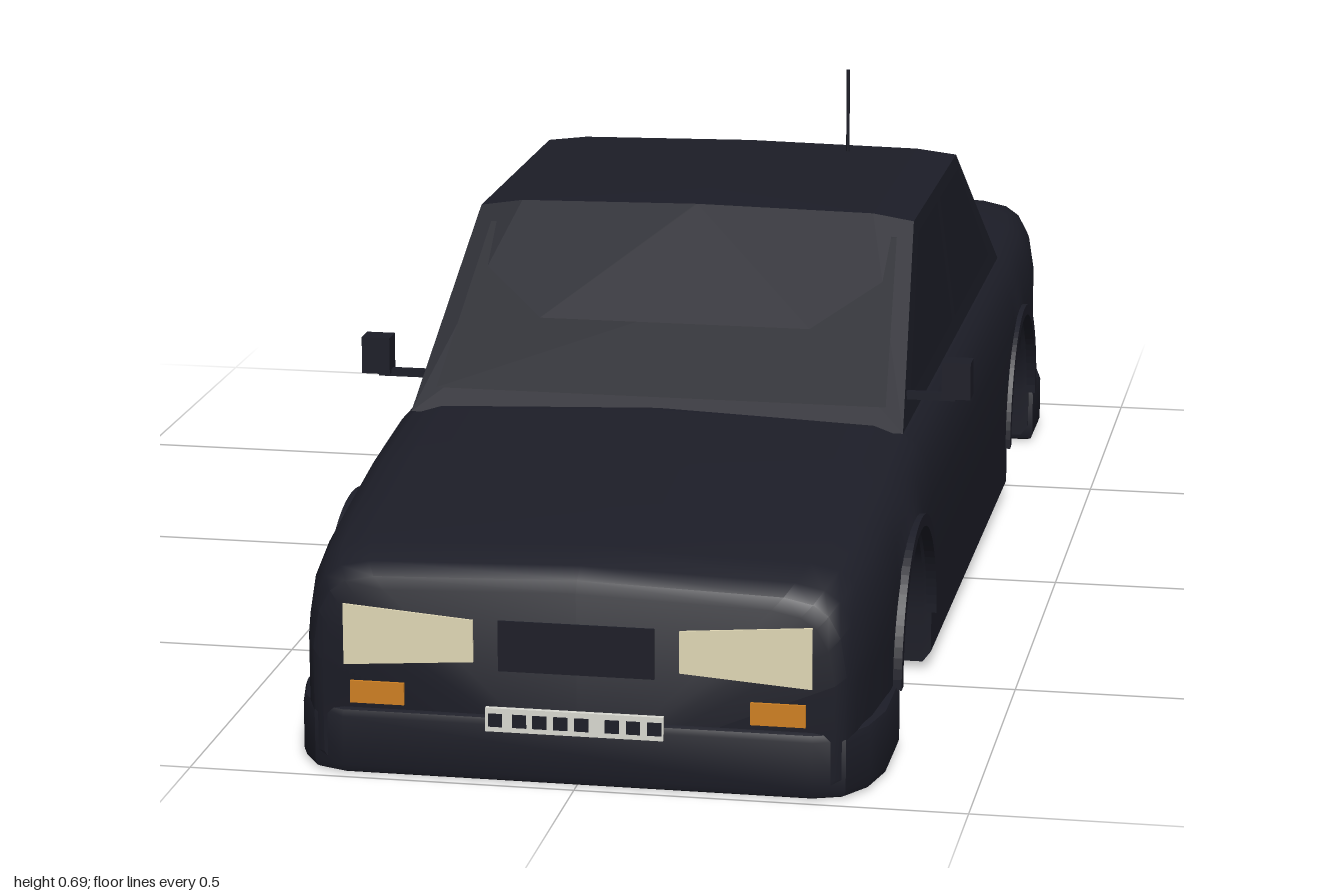
import * as THREE from 'three';
import { toCreasedNormals } from 'three/addons/utils/BufferGeometryUtils.js';
import { ConvexGeometry } from 'three/addons/geometries/ConvexGeometry.js';

const mat = (name, color, side = THREE.FrontSide) => {
  const m = new THREE.MeshStandardMaterial({ color, side });
  m.name = name;
  return m;
};

// Piecewise-linear lookup in [z, value] pairs
function lookup(table, z) {
  for (let i = 1; i < table.length; i++) {
    const [a, va] = table[i - 1], [b, vb] = table[i];
    if (z <= b) return va + (vb - va) * (z - a) / (b - a);
  }
  return table[table.length - 1][1];
}

const ARCH = 0.597, RADIUS = 0.163, HUB = 0.082, FLOOR = 0.012;
const WIDTH = [[-0.98, 0.335], [-0.97, 0.346], [-0.945, 0.355], [-0.9, 0.363], [-0.8, 0.372], [-0.6, 0.377],
  [0.6, 0.377], [0.8, 0.372], [0.9, 0.364], [0.95, 0.353], [0.972, 0.342], [0.98, 0.328]];
const TOP = [[-0.98, 0.325], [-0.973, 0.341], [-0.945, 0.351], [-0.85, 0.355], [-0.6, 0.345],
  [0.44, 0.342], [0.6, 0.325], [0.8, 0.3], [0.9, 0.285], [0.95, 0.273], [0.972, 0.26], [0.98, 0.245]];

// Lower body: sections lofted from back to front, with the wheel arches cut in
function bodyGeometry() {
  const arch = c => {
    const pts = [[c - RADIUS, FLOOR]];
    for (let i = 0; i <= 20; i++) {
      const a = Math.PI * i / 20;
      pts.push([c - RADIUS * Math.cos(a), HUB + RADIUS * Math.sin(a)]);
    }
    return [...pts, [c + RADIUS, FLOOR]];
  };
  const plain = [...new Set([...WIDTH, ...TOP].map(p => p[0]))].sort((a, b) => a - b).map(z => [z, FLOOR]);
  const stations = [
    ...plain.filter(p => p[0] < -ARCH - RADIUS), ...arch(-ARCH),
    ...plain.filter(p => Math.abs(p[0]) < ARCH - RADIUS), ...arch(ARCH),
    ...plain.filter(p => p[0] > ARCH + RADIUS)];
  const pos = [], index = [];
  let n = 0;
  for (const [z, low] of stations) {
    const w = lookup(WIDTH, z), top = lookup(TOP, z);
    const half = [[w * 0.97, low], [w, low + 0.015], [w, 0.15], [w, top - 0.1], [w - 0.008, top - 0.05],
      [w - 0.023, top - 0.022], [w - 0.043, top - 0.008], [w - 0.08, top]]
      .map(([x, y], i) => [x, i ? Math.max(y, low + 0.015) : y]);
    const ring = [[0, low], ...half, [0, top + 0.008], ...half.slice().reverse().map(([x, y]) => [-x, y])];
    n = ring.length;
    for (const [x, y] of ring) pos.push(x, y, z);
  }
  const last = (stations.length - 1) * n;
  for (let s = 0; s < last; s += n) {
    for (let i = 0; i < n; i++) {
      const a = s + i, b = s + (i + 1) % n;
      index.push(a, b, a + n, b, b + n, a + n);
    }
  }
  for (let i = 1; i < n - 1; i++) index.push(0, i + 1, i, last, last + i, last + i + 1);
  const g = new THREE.BufferGeometry();
  g.setAttribute('position', new THREE.Float32BufferAttribute(pos, 3));
  g.setIndex(index);
  return toCreasedNormals(g, 0.6);
}

export function createModel() {
  const car = new THREE.Group();
  car.name = 'car';
  const paint = mat('dark paint', 0x1c1d27);
  const glass = mat('dark glass', 0x1b1c25, THREE.DoubleSide);
  const cream = mat('headlight cream', 0xe2d9b6);
  const amber = mat('indicator amber', 0xcf8022);
  const red = mat('tail light red', 0x980820);
  const white = mat('plate white', 0xdadad2);

  const add = (name, geometry, material, x = 0, y = 0, z = 0) => {
    const m = new THREE.Mesh(geometry, material);
    m.name = name;
    m.position.set(x, y, z);
    car.add(m);
    return m;
  };
  const box = (name, material, x0, x1, y0, y1, z0, z1) =>
    add(name, new THREE.BoxGeometry(x1 - x0, y1 - y0, z1 - z0), material, (x0 + x1) / 2, (y0 + y1) / 2, (z0 + z1) / 2);
  const shapeOf = pts => new THREE.Shape(pts.map(p => new THREE.Vector2(...p)));

  add('body', bodyGeometry(), paint);

  // Cabin with a gently crowned roof
  const cabin = [];
  for (const s of [-1, 1]) {
    for (const [x, y, z] of [[0.338, 0.335, 0.45], [0.338, 0.335, -0.61], [0.308, 0.557, 0.14], [0.308, 0.557, -0.32],
      [0.25, 0.565, 0.135], [0.25, 0.565, -0.315], [0.001, 0.569, 0.135], [0.001, 0.569, -0.315],
      [0.001, 0.572, 0.04], [0.001, 0.572, -0.22]]) cabin.push(new THREE.Vector3(s * x, y, z));
  }
  add('cabin', new ConvexGeometry(cabin), paint);

  // Window panes laid just outside the cabin
  const pane = (name, pts) => {
    const g = new THREE.BufferGeometry();
    g.setAttribute('position', new THREE.Float32BufferAttribute(pts.flat(), 3));
    g.setIndex([0, 1, 2, 0, 2, 3]);
    g.computeVertexNormals();
    add(name, g, glass);
  };
  pane('windscreen', [[-0.31, 0.362, 0.419], [0.31, 0.362, 0.419], [0.288, 0.54, 0.167], [-0.288, 0.54, 0.167]]);
  pane('rearWindow', [[0.31, 0.362, -0.58], [-0.31, 0.362, -0.58], [-0.288, 0.54, -0.346], [0.288, 0.54, -0.346]]);
  const sideX = y => 0.341 - (y - 0.335) * 0.03 / 0.222;
  for (const s of [-1, 1]) {
    for (const [name, a, b, c, d] of [['frontSideWindow', 0.37, -0.07, -0.07, 0.13], ['rearSideWindow', -0.1, -0.5, -0.3, -0.1]]) {
      const p = [[s * sideX(0.365), 0.365, a], [s * sideX(0.365), 0.365, b], [s * sideX(0.54), 0.54, c], [s * sideX(0.54), 0.54, d]];
      pane(name, s > 0 ? p : p.reverse());
    }
  }

  // Bumpers: rounded plan shape, extruded upwards
  const plan = shapeOf([[-0.37, 0.775], [0.37, 0.775], [0.37, 0.87], [0.357, 0.93], [0.335, 0.965], [0.3, 0.978],
    [-0.3, 0.978], [-0.335, 0.965], [-0.357, 0.93], [-0.37, 0.87]]);
  for (const s of [1, -1]) {
    const g = new THREE.ExtrudeGeometry(plan, { depth: 0.064, bevelSize: 0.01, bevelThickness: 0.012, bevelSegments: 2 });
    g.rotateX(Math.PI / 2);
    g.translate(0, 0.077, 0);
    if (s < 0) g.rotateY(Math.PI);
    add(s > 0 ? 'frontBumper' : 'rearBumper', toCreasedNormals(g, 0.6), paint);
  }

  // Wheel arch lips
  const lip = new THREE.Shape();
  lip.absarc(0, 0, RADIUS + 0.016, 0, Math.PI, false);
  lip.absarc(0, 0, RADIUS, Math.PI, 0, true);
  for (const s of [-1, 1]) for (const c of [-ARCH, ARCH]) {
    const g = new THREE.ExtrudeGeometry(lip, { depth: 0.014, bevelEnabled: false, curveSegments: 20 });
    g.rotateY(Math.PI / 2);
    add('wheelArchLip', g, paint, s > 0 ? 0.37 : -0.384, HUB, c);
  }

  // Lamps
  for (const s of [-1, 1]) {
    const lamp = shapeOf([[0.132, 0.157], [0.3, 0.145], [0.3, 0.225], [0.132, 0.212]].map(([x, y]) => [s * x, y]));
    add('headlight', new THREE.ExtrudeGeometry(lamp, { depth: 0.006, bevelEnabled: false }), cream, 0, 0, 0.977);
    const pair = (a, b) => s > 0 ? [a, b] : [-b, -a];
    box('frontIndicator', amber, ...pair(0.222, 0.292), 0.095, 0.124, 0.977, 0.984);
    box('tailLight', red, ...pair(0.183, 0.308), 0.187, 0.3, -0.984, -0.977);
    box('rearIndicator', amber, ...pair(0.24, 0.305), 0.118, 0.163, -0.984, -0.977);
    // Door mirrors
    box('mirrorArm', paint, ...pair(0.325, 0.4), 0.365, 0.375, 0.37, 0.382);
    box('mirror', paint, ...pair(0.382, 0.421), 0.37, 0.421, 0.36, 0.392);
  }
  box('grillePanel', paint, -0.1, 0.1, 0.147, 0.213, 0.977, 0.983);

  // Plates with plain dark blocks
  box('frontPlate', white, -0.115, 0.113, 0.07, 0.101, 0.986, 0.993);
  box('rearPlate', white, -0.117, 0.118, 0.115, 0.17, -0.985, -0.978);
  for (const x of [-0.102, -0.071, -0.045, -0.018, 0.009, 0.048, 0.075, 0.102]) {
    box('frontPlateBlock', paint, x - 0.009, x + 0.009, 0.077, 0.094, 0.991, 0.995);
    box('rearPlateBlock', paint, x - 0.01, x + 0.01, 0.125, 0.16, -0.987, -0.983);
  }

  // Aerial and exhaust
  add('aerial', new THREE.CylinderGeometry(0.0025, 0.0025, 0.13, 8), paint, 0.154, 0.625, -0.265);
  const pipe = add('exhaust', new THREE.CylinderGeometry(0.013, 0.013, 0.06, 12), paint, 0.18, 0.035, -0.97);
  pipe.rotation.x = Math.PI / 2;
  return car;
}
